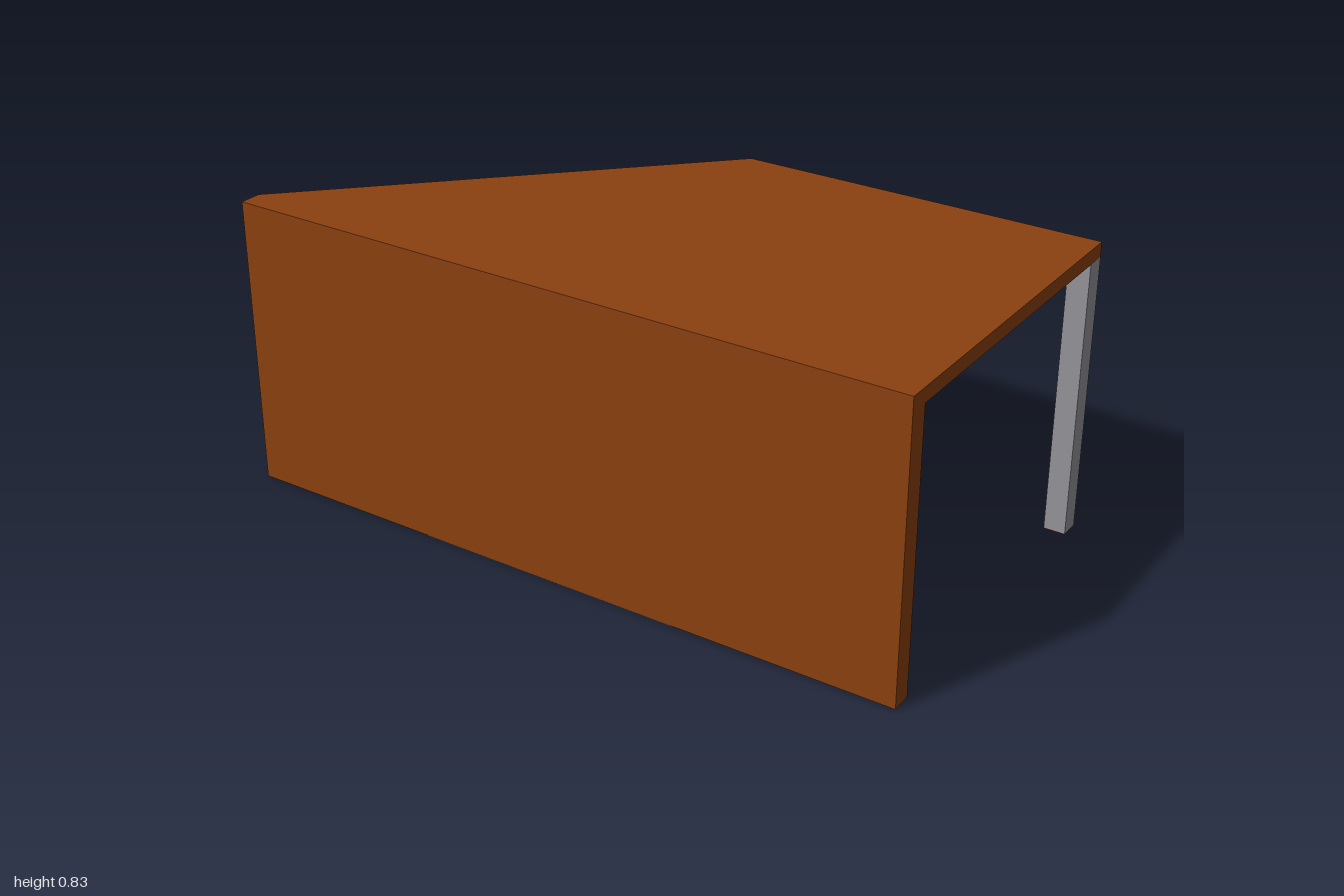
import * as THREE from 'three';

const brown = new THREE.MeshStandardMaterial({ name: 'brown wood', color: 0x8b400f });
const grey = new THREE.MeshStandardMaterial({ name: 'grey metal', color: 0x94949a });

// Upright prism over a floor outline of [x, z] points
function prism(name, outline, bottom, top, material) {
  const shape = new THREE.Shape(outline.map(([x, z]) => new THREE.Vector2(x, -z)));
  const geometry = new THREE.ExtrudeGeometry(shape, { depth: top - bottom, bevelEnabled: false });
  geometry.rotateX(-Math.PI / 2).translate(0, bottom, 0);
  const mesh = new THREE.Mesh(geometry, material);
  mesh.name = name;
  return mesh;
}

export function createModel() {
  const model = new THREE.Group();
  model.name = 'cornerDesk';
  const height = 0.835, underside = 0.793, foot = 0.002;

  // Five-sided top with one corner cut away
  model.add(prism('deskTop',
    [[-1, 0.522], [0.998, 0.494], [0.984, -0.522], [-0.06, -0.508], [-1, 0.46]],
    underside, height, brown));

  // Full-width front panel
  model.add(prism('frontPanel',
    [[-1, 0.522], [0.998, 0.494], [0.997, 0.435], [-1, 0.463]],
    foot, underside, brown));

  // Square back leg with a brown foot cap
  const leg = [[0.924, -0.461], [0.985, -0.462], [0.984, -0.522], [0.923, -0.521]];
  model.add(prism('backLeg', leg, foot, underside, grey));
  model.add(prism('legFootCap', leg, 0, foot, brown));

  // Glide strip under the front panel
  model.add(prism('panelGlide',
    [[-0.42, 0.513], [0.36, 0.502], [0.57, 0.442], [-0.2, 0.453]],
    0, foot, grey));

  return model;
}
